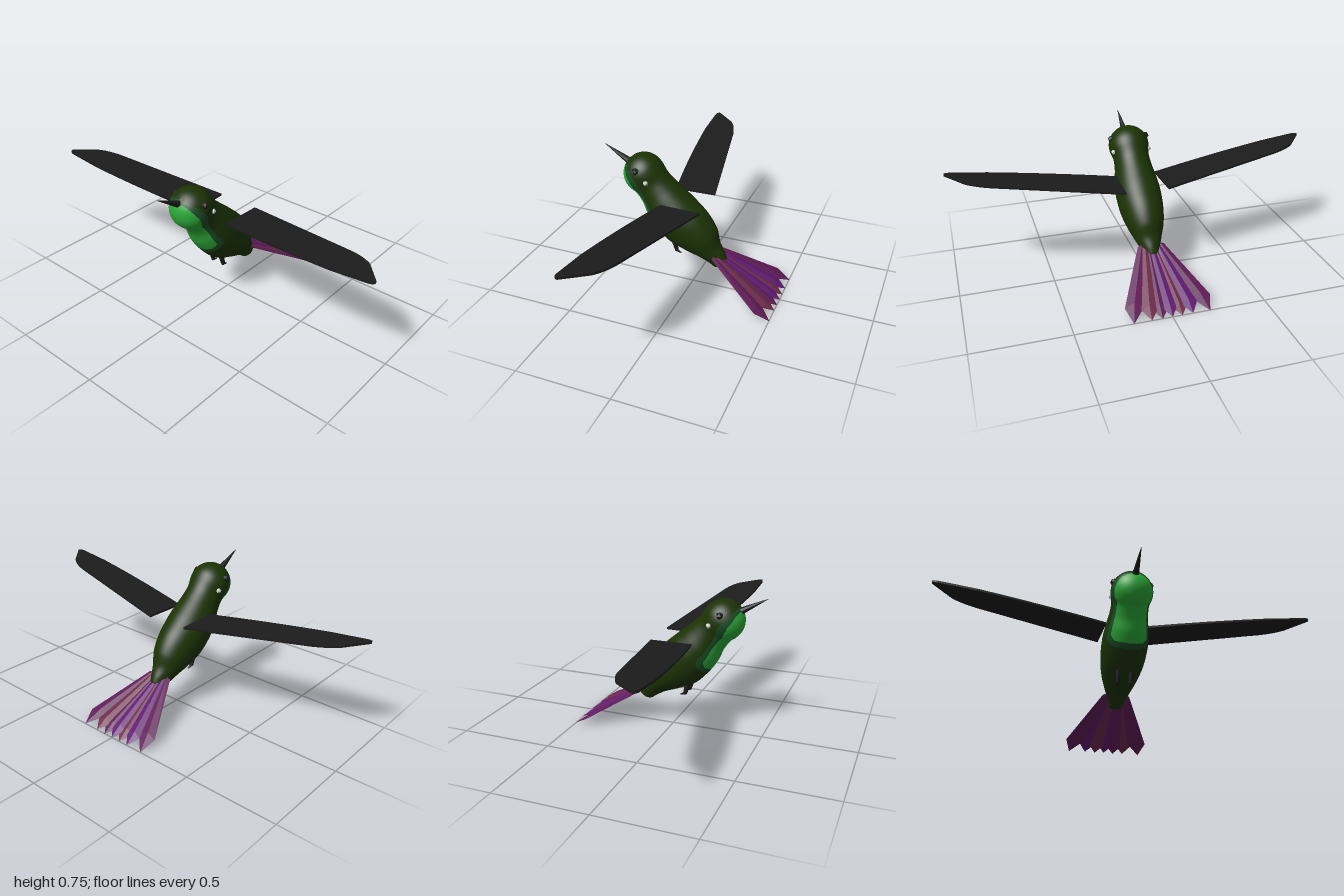
import * as THREE from 'three';
import { ConvexGeometry } from 'three/addons/geometries/ConvexGeometry.js';

const V = (x, y, z) => new THREE.Vector3(x, y, z);

function mat(name, color, flatShading = false) {
  const m = new THREE.MeshStandardMaterial({ color, flatShading });
  m.name = name;
  return m;
}

// Linear lookup in a table of [y, z] pairs; nothing below the first entry
function edgeAt(table, y) {
  if (y < table[0][0]) return Infinity;
  for (let i = 1; i < table.length; i++) {
    const [y0, z0] = table[i - 1], [y1, z1] = table[i];
    if (y <= y1) return z0 + (z1 - z0) * (y - y0) / (y1 - y0);
  }
  return Infinity;
}

// Rear edges of the bright throat and of the darker band around it
const throatEdge = [[.358, .22], [.38, .2], [.41, .197], [.45, .22], [.5, .25], [.55, .29], [.6, .318], [.65, .347], [.69, .375]];
const bandEdge = [[.332, .205], [.358, .178], [.4, .16], [.43, .173], [.48, .213], [.54, .248], [.615, .278], [.66, .316], [.7, .358]];

// Head, neck and body as one loft of elliptical rings from brow to rump
function bodyGeometry() {
  const back = [], belly = [];
  const k = Math.SQRT1_2, r = 0.11;
  for (let a = 0; a <= 100; a += 20) {
    const c = r * Math.cos(a * Math.PI / 180) * k, s = r * Math.sin(a * Math.PI / 180) * k;
    back.push(V(s / k, .624 + c + s, .277 + c - s));
    belly.push(V(0, .624 + c - s, .277 + c + s));
  }
  // half width, back y, back z, belly y, belly z
  const rings = [
    [.098, .636, .15, .515, .315], [.101, .597, .11, .465, .279], [.113, .555, .06, .4, .25],
    [.121, .505, 0, .33, .2], [.115, .43, -.08, .262, .13], [.096, .35, -.132, .22, .04],
    [.07, .275, -.152, .189, -.04], [.046, .22, -.183, .157, -.095], [.035, .18, -.194, .136, -.13],
    [0, .148, -.168, .148, -.168],
  ];
  for (const [w, y0, z0, y1, z1] of rings) {
    back.push(V(w, y0, z0));
    belly.push(V(0, y1, z1));
  }
  const backCurve = new THREE.CatmullRomCurve3(back, false, 'catmullrom', 0.5);
  const bellyCurve = new THREE.CatmullRomCurve3(belly, false, 'catmullrom', 0.5);
  const N = 150, M = 80, pos = [], faces = [[], [], []];
  for (let i = 0; i <= N; i++) {
    const p = backCurve.getPoint(i / N), q = bellyCurve.getPoint(i / N);
    for (let j = 0; j < M; j++) {
      const t = j / M * Math.PI * 2, f = (1 + Math.cos(t)) / 2;
      pos.push(p.x * Math.sin(t), q.y + (p.y - q.y) * f, q.z + (p.z - q.z) * f);
    }
  }
  const addFace = (...ids) => {
    let y = 0, z = 0;
    for (const i of ids) { y += pos[i * 3 + 1] / 3; z += pos[i * 3 + 2] / 3; }
    const zone = z > edgeAt(throatEdge, y) ? 2 : z > edgeAt(bandEdge, y) ? 1 : 0;
    faces[zone].push(...ids);
  };
  for (let i = 0; i < N; i++) for (let j = 0; j < M; j++) {
    const a = i * M + j, b = i * M + (j + 1) % M;
    addFace(a, b, a + M);
    addFace(b, b + M, a + M);
  }
  const g = new THREE.BufferGeometry();
  g.setAttribute('position', new THREE.Float32BufferAttribute(pos, 3));
  g.setIndex(faces.flat());
  let start = 0;
  faces.forEach((f, i) => { g.addGroup(start, f.length, i); start += f.length; });
  g.computeVertexNormals();
  return g;
}

// Flat swept wing, rising towards the tip
function wingGeometry(side) {
  const s = new THREE.Shape();
  s.moveTo(side * .115, .081);
  s.lineTo(side * .78, -.045);
  s.quadraticCurveTo(side * .86, -.065, side * .905, -.1);
  s.lineTo(side * .998, -.208);
  s.quadraticCurveTo(side * 1.003, -.228, side * .97, -.23);
  s.lineTo(side * .78, -.227);
  s.quadraticCurveTo(side * .45, -.2, side * .108, -.14);
  s.closePath();
  const g = new THREE.ExtrudeGeometry(s, { depth: .011, bevelEnabled: false, curveSegments: 8 });
  g.rotateX(-Math.PI / 2);
  const p = g.attributes.position;
  for (let i = 0; i < p.count; i++) p.setY(i, p.getY(i) + .498 + (Math.abs(p.getX(i)) - .1) * .109);
  g.computeVertexNormals();
  return g;
}

// One ridged tail feather: root, shoulder and tip positions across the fan
function featherGeometry(xr, xs, xt, half, zs, lift) {
  const at = (x, z, h) => V(x, .218 + (z + .13) * .575 + h + lift, z);
  return new ConvexGeometry([
    at(xr - .022, -.135, 0), at(xr + .022, -.135, 0), at(xr, -.135, .009), at(xr, -.135, -.006),
    at(xs - half, zs, 0), at(xs + half, zs, 0), at(xs, zs + .01, .012), at(xs, zs + .01, -.008),
    at(xt, -.503, 0),
  ]);
}

// Tapered rod between two points
function rod(a, b, ra, rb, sides) {
  const d = b.clone().sub(a);
  const g = new THREE.CylinderGeometry(rb, ra, d.length(), sides);
  g.applyQuaternion(new THREE.Quaternion().setFromUnitVectors(V(0, 1, 0), d.normalize()));
  return g.translate((a.x + b.x) / 2, (a.y + b.y) / 2, (a.z + b.z) / 2);
}

export function createModel() {
  const group = new THREE.Group();
  const green = mat('darkGreenPlumage', 0x1c3304);
  const band = mat('bandGreen', 0x1a4a24);
  const throat = mat('throatGreen', 0x2ca838);
  const charcoal = mat('charcoal', 0x1c1c1c, true);
  const white = mat('cheekWhite', 0xd0d0d0, true);
  const plum = mat('plum', 0x601c58, true);
  const violet = mat('violet', 0x621a72, true);
  const rose = mat('rose', 0x6e2c4c, true);
  const add = (name, geometry, material) => {
    const m = new THREE.Mesh(geometry, material);
    m.name = name;
    group.add(m);
  };

  add('body', bodyGeometry(), [green, band, throat]);
  add('beak', rod(V(0, .668, .345), V(0, .755, .502), .021, .001, 8), charcoal);

  for (const side of [1, -1]) {
    const label = side > 0 ? 'left' : 'right';
    add(label + 'Wing', wingGeometry(side), charcoal);
    add(label + 'Eye', new THREE.IcosahedronGeometry(.021, 0).translate(side * .095, .67, .282), charcoal);
    add(label + 'CheekSpot', new THREE.IcosahedronGeometry(.015, 0).translate(side * .098, .615, .226), white);
    // Leg with a toe trailing backwards
    const x = side * .035;
    add(label + 'Leg', rod(V(x, .275, .1), V(x, .203, .08), .017, .011, 6), charcoal);
    add(label + 'Toe', rod(V(x, .206, .085), V(x, .194, .054), .009, .003, 6), charcoal);
  }

  // Tail fan, with broad outer feathers and closely set inner ones
  const colours = [plum, violet, rose, violet, plum, rose, plum];
  const tips = [-.2, -.108, -.052, 0, .052, .108, .2];
  colours.forEach((c, i) => {
    const xt = tips[i], outer = i % 6 === 0;
    const geometry = outer
      ? featherGeometry(xt * .25, xt * .865, xt, .053, -.425, 0)
      : featherGeometry(xt * .3, xt * .95, xt, .044, -.45, i % 2 ? .003 : 0);
    add('tailFeather' + (i + 1), geometry, c);
  });
  return group;
}
